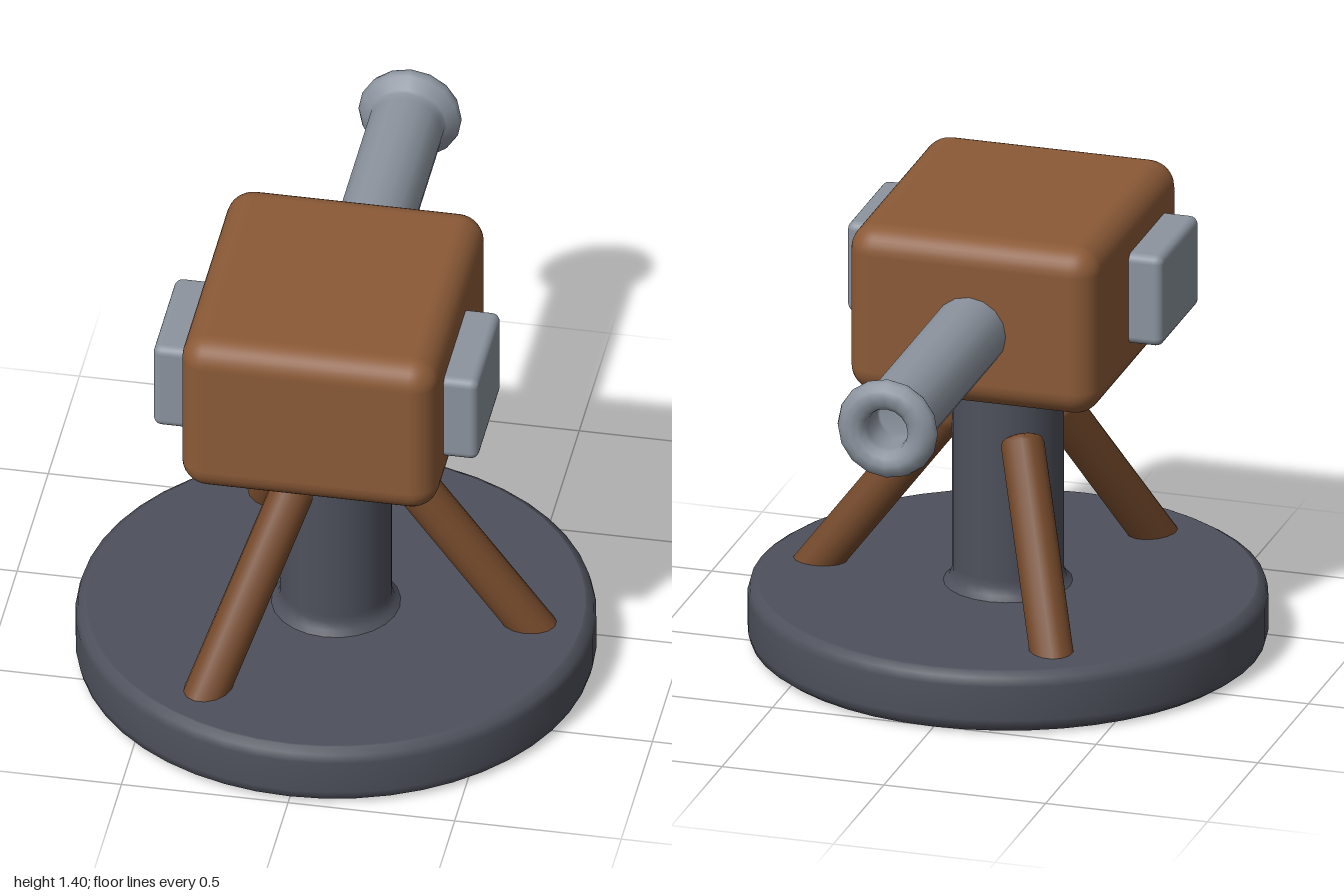
import * as THREE from 'three';
import { RoundedBoxGeometry } from 'three/addons/geometries/RoundedBoxGeometry.js';

const material = (name, color) => {
  const m = new THREE.MeshStandardMaterial({ color });
  m.name = name;
  return m;
};

const lathe = (points, sides) =>
  new THREE.LatheGeometry(points.map(([r, y]) => new THREE.Vector2(r, y)), sides);

export function createModel() {
  const darkMetal = material('dark metal', 0x4e515c);
  const lightMetal = material('light metal', 0x8c949f);
  const wood = material('wood', 0x8b5a37);
  const darkWood = material('dark wood', 0x74492b);

  const model = new THREE.Group();
  model.name = 'turret';
  const add = (name, geometry, mat, x, y, z) => {
    const mesh = new THREE.Mesh(geometry, mat);
    mesh.name = name;
    mesh.position.set(x, y, z);
    model.add(mesh);
    return mesh;
  };
  const axisZ = 0.23; // the stand sits forward of the centre

  // Round base with softened rims
  add('base', lathe([
    [0, 0], [0.735, 0], [0.74, 0.002], [0.762, 0.018], [0.769, 0.045],
    [0.769, 0.15], [0.762, 0.176], [0.74, 0.19], [0.735, 0.192], [0, 0.192],
  ], 48), darkMetal, 0, 0, axisZ);

  // Central post with a small foot flare
  add('post', lathe([
    [0.2, 0.185], [0.175, 0.205], [0.166, 0.23], [0.166, 0.25], [0.166, 0.92],
  ], 24), darkMetal, 0, 0, axisZ);

  // Three slanted braces around the post
  const top = new THREE.Vector3(0.185, 0.713, 0);
  const foot = new THREE.Vector3(0.618, 0.14, 0);
  const direction = top.clone().sub(foot);
  const length = direction.length();
  const braceGeometry = lathe([
    [0, 0], [0.066, 0], [0.066, 0.02], [0.066, length - 0.025],
    [0.06, length - 0.008], [0.045, length], [0, length],
  ], 14);
  braceGeometry.applyQuaternion(new THREE.Quaternion().setFromUnitVectors(
    new THREE.Vector3(0, 1, 0), direction.normalize()));
  braceGeometry.translate(foot.x, foot.y, foot.z);
  for (let i = 0; i < 3; i++) {
    add('brace', braceGeometry, darkWood, 0, 0, axisZ).rotation.y = i * Math.PI * 2 / 3;
  }

  // Rounded housing
  add('housing', new RoundedBoxGeometry(0.77, 0.526, 0.866, 4, 0.08),
    wood, 0, 1.138, 0.278);

  // Side plates
  for (const side of [-1, 1]) {
    add(side > 0 ? 'leftPlate' : 'rightPlate',
      new RoundedBoxGeometry(0.14, 0.285, 0.375, 3, 0.025),
      lightMetal, side * 0.418, 1.137, 0.377);
  }

  // Barrel with flared muzzle and hollow bore, pointing to the back
  add('barrel', lathe([
    [0.113, 0.1], [0.113, 0.88], [0.113, 0.905], [0.12, 0.913], [0.148, 0.945],
    [0.155, 0.96], [0.149, 0.978], [0.13, 0.995], [0.11, 1], [0.085, 0.995],
    [0.068, 0.98], [0.064, 0.96], [0.064, 0.86], [0.06, 0.85], [0, 0.85],
  ], 16), lightMetal, 0, 1.115, 0).rotation.x = -Math.PI / 2;

  return model;
}
